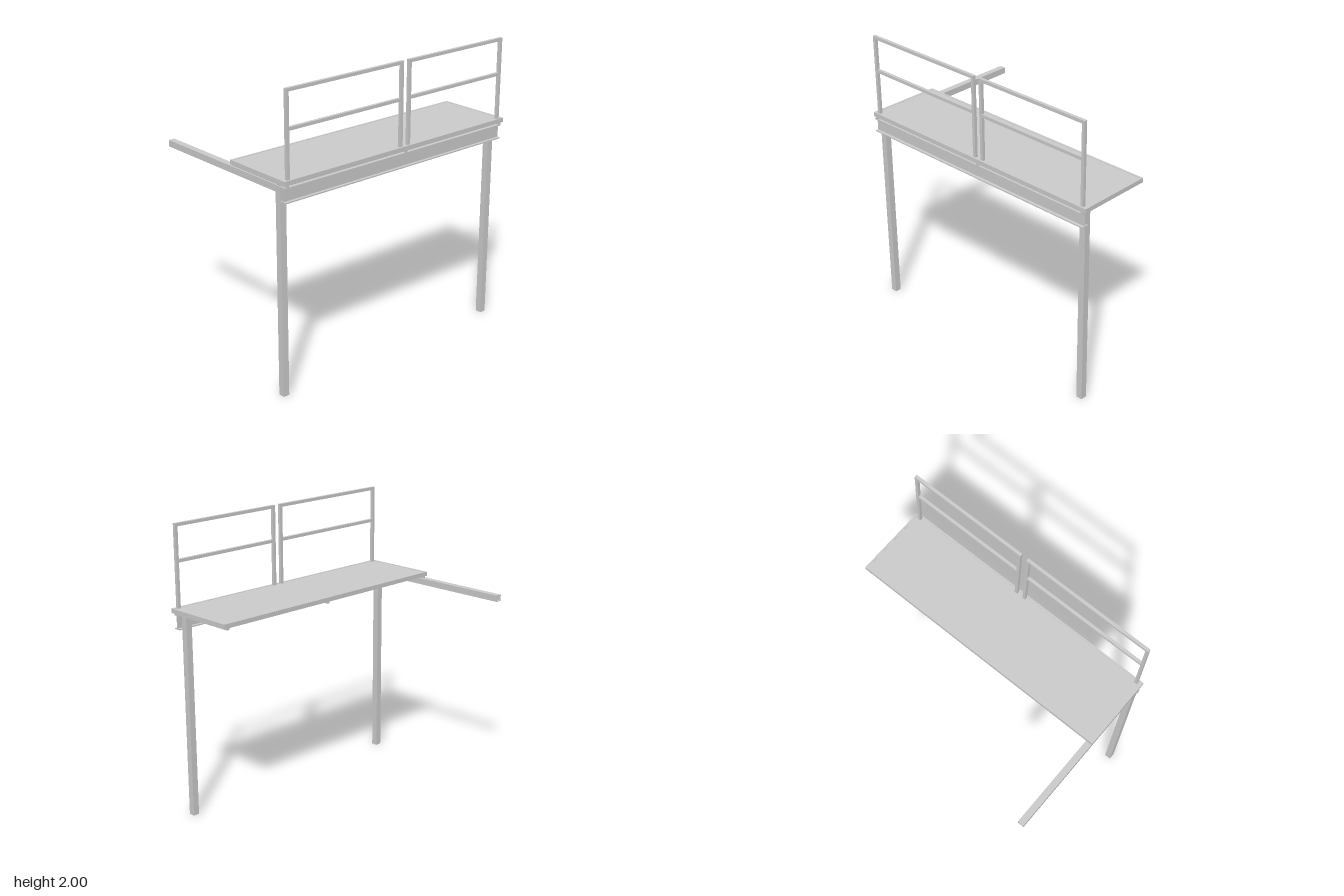
import * as THREE from 'three';

const material = new THREE.MeshStandardMaterial({ color: 0xcccccc, flatShading: true });

function rectPath(path, w, h) {
  path.moveTo(-w / 2, -h / 2);
  path.lineTo(w / 2, -h / 2);
  path.lineTo(w / 2, h / 2);
  path.lineTo(-w / 2, h / 2);
  path.closePath();
  return path;
}

// Solid bar between two opposite corners
function bar(name, x0, x1, y0, y1, z0, z1) {
  const mesh = new THREE.Mesh(new THREE.BoxGeometry(x1 - x0, y1 - y0, z1 - z0), material);
  mesh.position.set((x0 + x1) / 2, (y0 + y1) / 2, (z0 + z1) / 2);
  mesh.name = name;
  return mesh;
}

// Open-ended square tube running along z
function tubeGeometry(size, length, wall = 0.005) {
  const shape = rectPath(new THREE.Shape(), size, size);
  shape.holes.push(rectPath(new THREE.Path(), size - 2 * wall, size - 2 * wall));
  return new THREE.ExtrudeGeometry(shape, { depth: length, bevelEnabled: false });
}

// Flanged beam profile, extruded along x
function makeBeam(x0, x1, y0, y1, z0, z1) {
  const w = (z1 - z0) / 2, h = (y1 - y0) / 2, web = 0.003, flange = 0.008;
  const half = [[w, -h], [w, -h + flange], [web, -h + flange], [web, h - flange], [w, h - flange], [w, h]];
  const points = [...half, ...half.map(([x, y]) => [-x, -y])];
  const shape = new THREE.Shape(points.map(([x, y]) => new THREE.Vector2(x, y)));
  const geometry = new THREE.ExtrudeGeometry(shape, { depth: x1 - x0, bevelEnabled: false });
  geometry.rotateY(Math.PI / 2);
  const mesh = new THREE.Mesh(geometry, material);
  mesh.position.set(x0, (y0 + y1) / 2, (z0 + z1) / 2);
  mesh.name = 'frontBeam';
  return mesh;
}

// One guard rail panel: two uprights, top rail and middle rail
function makeGuardRail(name, x0, x1) {
  const group = new THREE.Group();
  group.name = name;
  const t = 0.021, z0 = 0.566, z1 = 0.587;
  group.add(
    bar('upright', x0, x0 + t, 1.42, 2 - t, z0, z1),
    bar('upright', x1 - t, x1, 1.42, 2 - t, z0, z1),
    bar('topRail', x0, x1, 2 - t, 2, z0, z1),
    bar('middleRail', x0 + t, x1 - t, 1.744, 1.765, z0, z1),
  );
  return group;
}

// Platform: thin panel in a rim, carried on cross bearers
function makeDeck() {
  const deck = new THREE.Group();
  deck.name = 'deck';
  const x0 = -0.95, x1 = 0.946, z0 = 0.072, z1 = 0.6, y0 = 1.415, y1 = 1.445, t = 0.014;
  deck.add(
    bar('panel', x0 + t, x1 - t, 1.433, 1.443, z0 + t, z1 - t),
    bar('frontRim', x0, x1, y0, y1, z1 - t, z1),
    bar('backRim', x0, x1, y0, y1, z0, z0 + t),
    bar('rightRim', x0, x0 + t, y0, y1, z0 + t, z1 - t),
    bar('leftRim', x1 - t, x1, y0, y1, z0 + t, z1 - t),
    bar('middleJoist', 0.03, 0.05, y0, 1.433, z0 + t, z1 - t),
  );
  for (const x of [-0.935, 0.03, 0.905]) {
    deck.add(bar('crossBearer', x, x + 0.02, 1.402, y0, z0 + 0.003, z1 - 0.004));
  }
  return deck;
}

export function createModel() {
  const model = new THREE.Group();
  model.name = 'raisedPlatform';
  const size = 0.044;

  // Posts: hollow tubes standing behind the beam
  for (const [name, x] of [['rightPost', -0.923], ['leftPost', 0.88]]) {
    const post = new THREE.Mesh(tubeGeometry(size, 1.402), material);
    post.rotation.x = -Math.PI / 2;
    post.position.set(x, 0, 0.528);
    post.name = name;
    model.add(post);
  }

  // Long arm running back from the right post
  const arm = new THREE.Mesh(tubeGeometry(size, 1.106), material);
  arm.position.set(-0.923, 1.381, -0.6);
  arm.name = 'sideArm';
  model.add(arm);

  model.add(
    makeBeam(-0.945, 0.924, 1.303, 1.402, 0.55, 0.597),
    makeDeck(),
    makeGuardRail('rightGuardRail', -0.921, 0.015),
    makeGuardRail('leftGuardRail', 0.06, 0.915),
  );
  return model;
}
